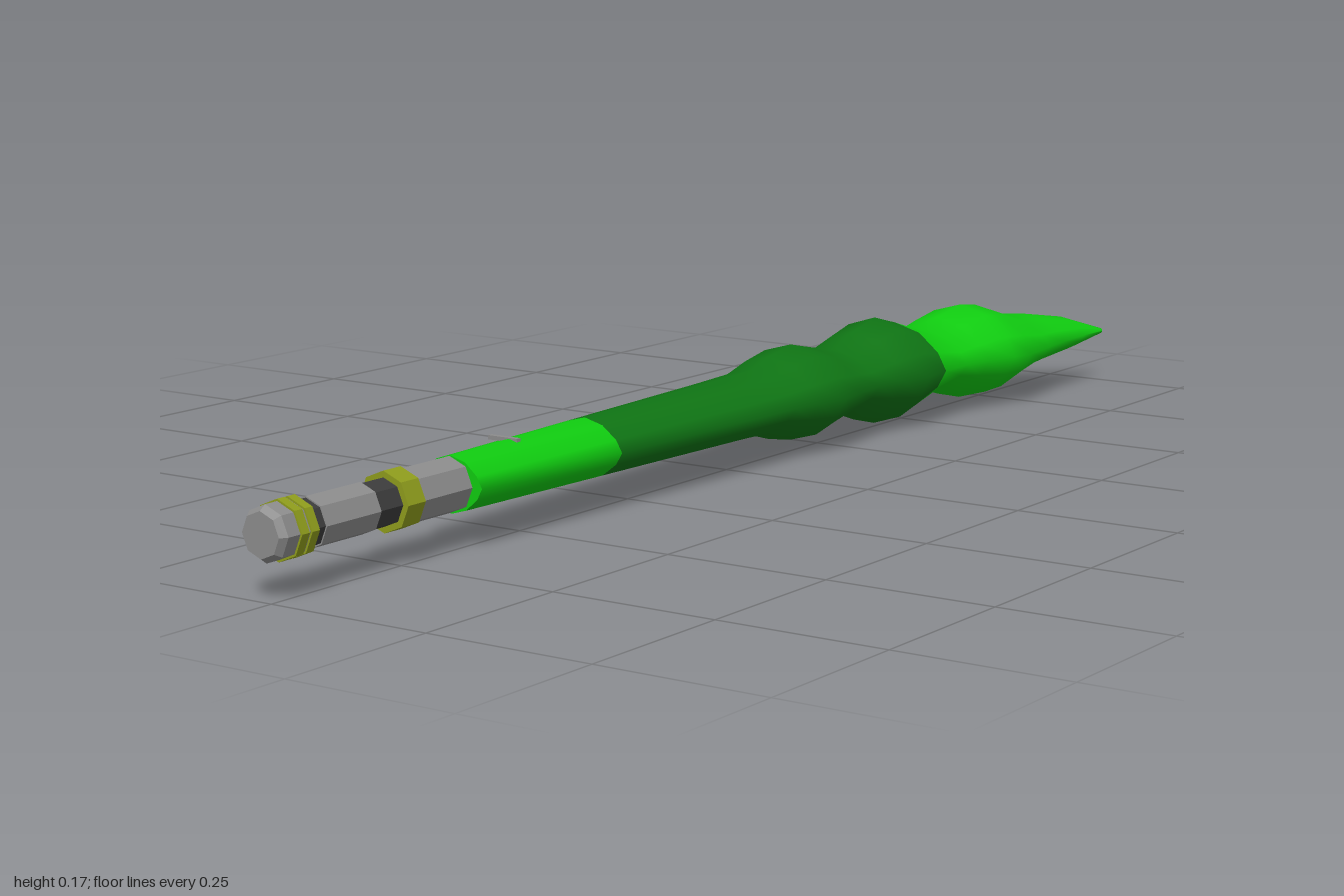
import * as THREE from 'three';

const mat = (name, color) => {
  const m = new THREE.MeshStandardMaterial({ color });
  m.name = name;
  return m;
};

const AXIS_X = -0.015, AXIS_Y = 0.087;

// Blade stations: z, left edge x, right edge x, half height
const STATIONS = [
  [0.63, -0.066, 0.04, 0.04], [0.33, -0.08, 0.05, 0.044], [0, -0.097, 0.063, 0.048],
  [-0.09, -0.102, 0.066, 0.05], [-0.14, -0.111, 0.075, 0.064], [-0.2, -0.119, 0.084, 0.075],
  [-0.26, -0.111, 0.076, 0.062], [-0.32, -0.107, 0.071, 0.05], [-0.38, -0.11, 0.078, 0.071],
  [-0.44, -0.119, 0.09, 0.086], [-0.5, -0.109, 0.084, 0.07], [-0.57, -0.1, 0.084, 0.048],
  [-0.62, -0.103, 0.095, 0.064], [-0.68, -0.103, 0.109, 0.078], [-0.72, -0.1, 0.118, 0.073],
  [-0.8, -0.077, 0.108, 0.048], [-0.86, -0.053, 0.101, 0.041], [-0.94, 0.003, 0.098, 0.028],
  [-1, 0.096, 0.1, 0.004],
];

// Right upper quarter of the lens-like section, as fractions of the half sizes
const QUARTER = [[1, 0], [0.84, 0.4], [0.47, 0.82]];
const SECTION = [
  ...QUARTER, [0, 1],
  ...QUARTER.slice(1).reverse().map(([x, y]) => [-x, y]),
  ...QUARTER.map(([x, y]) => [-x, -y]), [0, -1],
  ...QUARTER.slice(1).reverse().map(([x, y]) => [x, -y]),
];

// Point of the blade's surface at a given z
function bladePoint([sx, sy], z) {
  let i = 0;
  while (i < STATIONS.length - 2 && z < STATIONS[i + 1][0]) i++;
  const a = STATIONS[i], b = STATIONS[i + 1];
  const t = (z - a[0]) / (b[0] - a[0]);
  const [l, r, h] = [1, 2, 3].map(k => a[k] + (b[k] - a[k]) * t);
  return [(l + r) / 2 + sx * (r - l) / 2, AXIS_Y + sy * h, z];
}

function bladeGeometry() {
  const n = SECTION.length, pos = [], index = [];
  STATIONS.forEach(([z], i) => SECTION.forEach(s => {
    // the colour border sweeps backwards along the left edge
    const shift = i === 10 && s[0] < -0.3 ? 0.06 * s[0] * s[0] : 0;
    pos.push(...bladePoint(s, z - shift));
  }));
  for (let i = 0; i < STATIONS.length - 1; i++) {
    for (let j = 0; j < n; j++) {
      const a = i * n + j, b = i * n + (j + 1) % n;
      index.push(a, a + n, b, b, a + n, b + n);
    }
  }
  const g = new THREE.BufferGeometry();
  g.setAttribute('position', new THREE.Float32BufferAttribute(pos, 3));
  g.setIndex(index);
  g.computeVertexNormals();
  const row = n * 6;
  g.addGroup(0, row, 0);
  g.addGroup(row, row * 9, 1);
  g.addGroup(row * 10, row * (STATIONS.length - 11), 0);
  return g;
}

export function createModel() {
  const group = new THREE.Group();
  const bright = mat('brightGreen', 0x10cc10);
  const dark = mat('darkGreen', 0x0f7414);
  const steel = mat('steelGrey', 0x8c8c8c);
  const grip = mat('darkGrey', 0x3c3c3c);
  const olive = mat('olive', 0x8e9c1c);

  const add = (name, geometry, material) => {
    const mesh = new THREE.Mesh(geometry, material);
    mesh.name = name;
    group.add(mesh);
    return mesh;
  };

  // Wavy blade and its flat base
  add('blade', bladeGeometry(), [bright, dark]);
  const base = new THREE.Shape(SECTION.map(s => new THREE.Vector2(...bladePoint(s, 0.63))));
  add('bladeBase', new THREE.ShapeGeometry(base), bright).position.z = 0.63;

  // Eight-sided handle segments along z: start, end, radius at start, radius at end
  const segment = (name, z0, z1, r0, r1, material) => {
    let g = new THREE.CylinderGeometry(r1, r0, z1 - z0, 8).rotateX(Math.PI / 2);
    g = g.toNonIndexed();
    g.computeVertexNormals();
    add(name, g, material).position.set(AXIS_X, AXIS_Y, (z0 + z1) / 2);
  };
  segment('collar', 0.62, 0.73, 0.039, 0.039, steel);
  segment('guardRing', 0.73, 0.765, 0.042, 0.042, olive);
  segment('upperGrip', 0.765, 0.81, 0.033, 0.033, grip);
  segment('handle', 0.81, 0.915, 0.035, 0.035, steel);
  segment('lowerGrip', 0.915, 0.94, 0.033, 0.033, grip);
  for (const z of [0.935, 0.954]) segment('pommelRing', z, z + 0.014, 0.041, 0.041, olive);
  segment('pommel', 0.94, 0.99, 0.038, 0.038, steel);
  segment('pommelEnd', 0.99, 1, 0.038, 0.031, steel);

  // Small grey mark on top of the blade's root
  add('bladeMark', new THREE.BoxGeometry(0.05, 0.006, 0.008), steel).position.set(-0.025, 0.127, 0.5);

  return group;
}
